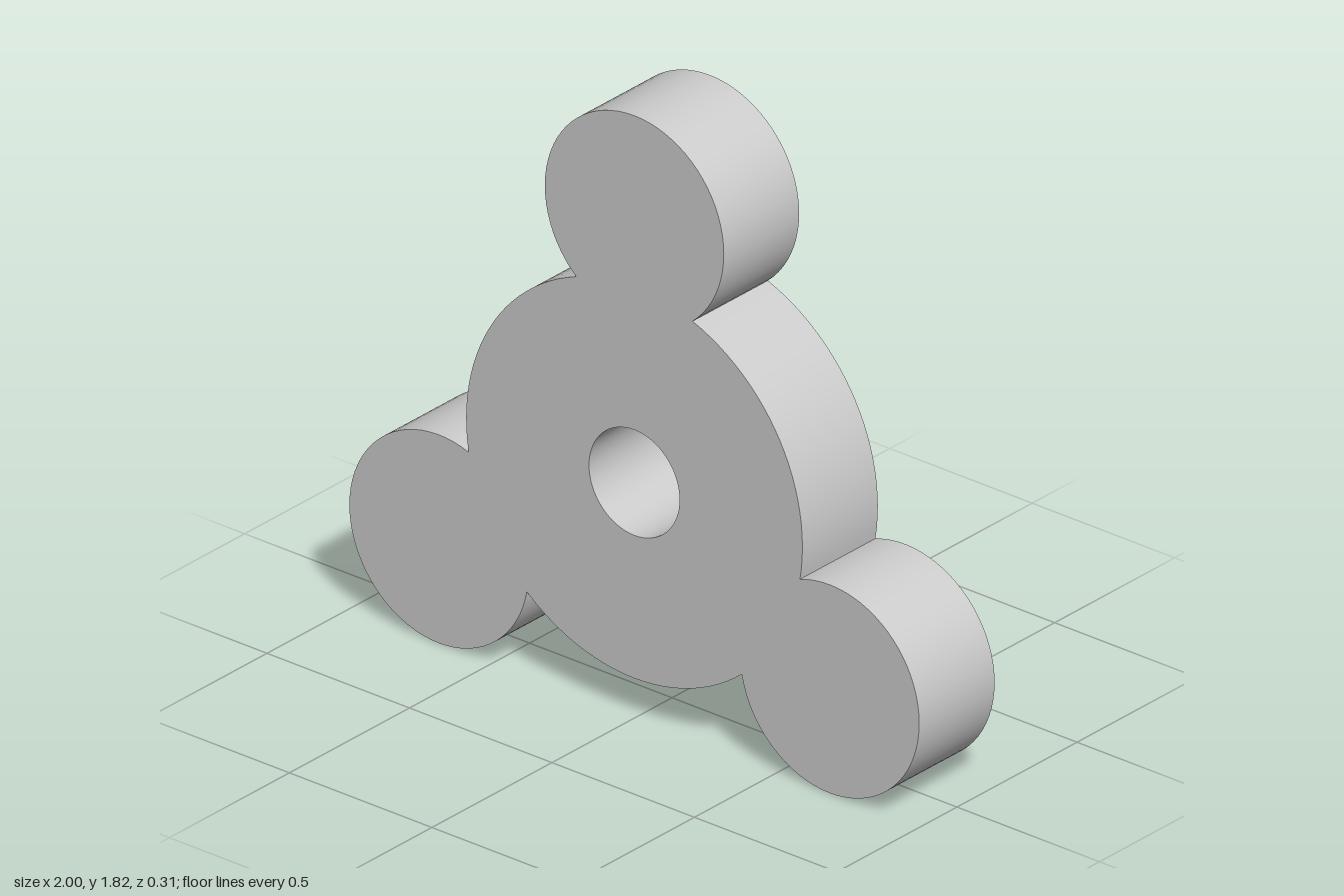
import * as THREE from 'three';
import { toCreasedNormals } from 'three/addons/utils/BufferGeometryUtils.js';

const HUB_R = 0.59, LOBE_R = 0.314, LOBE_DIST = 0.792, HOLE_R = 0.159;
const DEPTH = 0.314, CENTRE_Y = 0.71;

// Points along an arc, leaving out its end so that arcs can be chained
function arc(cx, cy, r, from, to, steps) {
  return Array.from({ length: steps }, (_, i) => {
    const a = from + (to - from) * i / steps;
    return new THREE.Vector2(cx + r * Math.cos(a), cy + r * Math.sin(a));
  });
}

export function createModel() {
  const group = new THREE.Group();
  const material = new THREE.MeshStandardMaterial({ color: 0xcccccc });

  // Half angles at which hub and lobe circles meet, seen from each centre
  const meet = (r, other) =>
    Math.acos((r * r + LOBE_DIST ** 2 - other * other) / (2 * r * LOBE_DIST));
  const hubHalf = meet(HUB_R, LOBE_R), lobeHalf = meet(LOBE_R, HUB_R);

  // Outline: three lobes joined by the arcs of the hub
  const outline = [];
  for (let i = 0; i < 3; i++) {
    const t = Math.PI / 2 + i * Math.PI * 2 / 3;
    outline.push(
      ...arc(LOBE_DIST * Math.cos(t), LOBE_DIST * Math.sin(t), LOBE_R,
        t - Math.PI + lobeHalf, t + Math.PI - lobeHalf, 56),
      ...arc(0, 0, HUB_R, t + hubHalf, t + Math.PI * 2 / 3 - hubHalf, 24));
  }
  const shape = new THREE.Shape(outline);

  // Central bore
  shape.holes.push(new THREE.Path(arc(0, 0, HOLE_R, 0, -Math.PI * 2, 64)));

  const geometry = new THREE.ExtrudeGeometry(shape, { depth: DEPTH, bevelEnabled: false });
  geometry.translate(0, CENTRE_Y, -DEPTH / 2);

  const plate = new THREE.Mesh(toCreasedNormals(geometry, Math.PI / 6), material);
  plate.name = 'threeLobedPlate';
  group.add(plate);
  return group;
}
